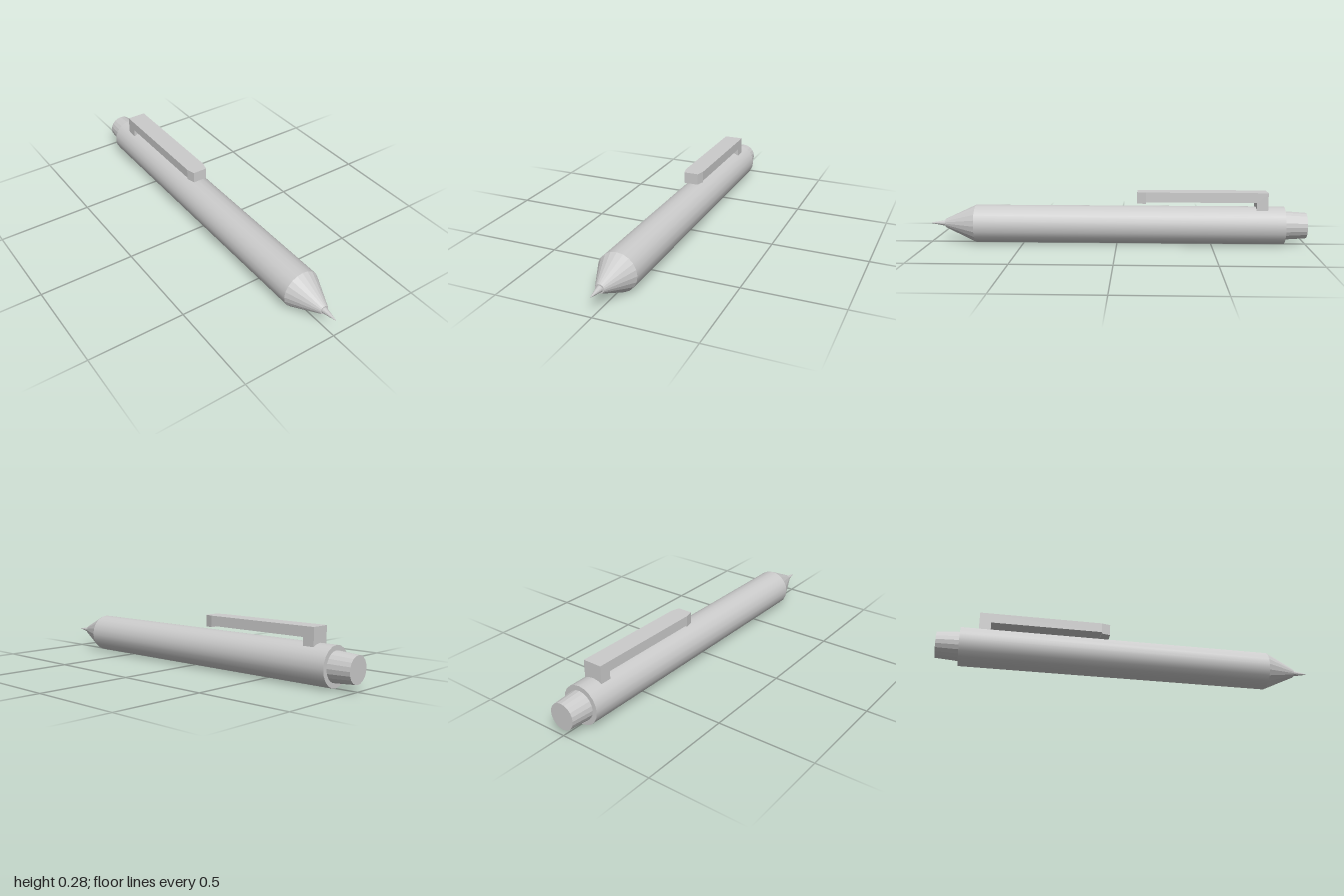
import * as THREE from 'three';

const SIDES = 20;
const AXIS_Y = 0.101;

export function createModel() {
  const pen = new THREE.Group();
  pen.name = 'pen';
  const smooth = new THREE.MeshStandardMaterial({ color: 0xcccccc });
  const flat = new THREE.MeshStandardMaterial({ color: 0xcccccc, flatShading: true });

  const add = (parent, name, geometry, material) => {
    const mesh = new THREE.Mesh(geometry, material);
    mesh.name = name;
    parent.add(mesh);
    return mesh;
  };

  // Round section along z, from the back end to the front end
  const section = (name, backZ, frontZ, backR, frontR, material) => {
    const geometry = new THREE.CylinderGeometry(frontR, backR, frontZ - backZ, SIDES);
    geometry.rotateX(Math.PI / 2);
    geometry.translate(0, AXIS_Y, (backZ + frontZ) / 2);
    return add(pen, name, geometry, material);
  };
  section('barrel', -0.883, 0.755, 0.101, 0.101, smooth);
  section('noseCone', 0.755, 0.922, 0.101, 0.023, flat);
  section('writingTip', 0.922, 1, 0.016, 0.002, flat);
  section('pushButton', -1, -0.883, 0.077, 0.068, flat).geometry
    .copy(buttonGeometry());

  // Pocket clip
  const clip = new THREE.Group();
  clip.name = 'clip';
  pen.add(clip);
  const w = 0.051, top = 0.28, joinZ = -0.155;

  // Arm and foot: side profile in (-z, y), extruded across x
  const side = new THREE.Shape([
    [0.155, 0.228], [0.733, 0.228], [0.733, 0.187], [0.793, 0.187], [0.793, top], [0.155, top],
  ].map(([x, y]) => new THREE.Vector2(x, y)));
  const arm = new THREE.ExtrudeGeometry(side, { depth: 2 * w, bevelEnabled: false });
  arm.translate(0, 0, -w).rotateY(Math.PI / 2);
  add(clip, 'clipArm', arm, flat);

  // Chamfered clip end: plan outline in (x, -z), extruded upwards
  const plan = new THREE.Shape([
    [-w, -joinZ], [-0.039, 0.108], [0.039, 0.108], [w, -joinZ],
  ].map(([x, y]) => new THREE.Vector2(x, y)));
  const end = new THREE.ExtrudeGeometry(plan, { depth: top - 0.22, bevelEnabled: false });
  end.rotateX(-Math.PI / 2).translate(0, 0.22, 0);
  add(clip, 'clipEnd', end, flat);

  return pen;
}

// Push button, narrowing towards the back
function buttonGeometry() {
  const geometry = new THREE.CylinderGeometry(0.076, 0.068, 0.117, SIDES);
  return geometry.rotateX(Math.PI / 2).translate(0, AXIS_Y, -0.9415);
}
